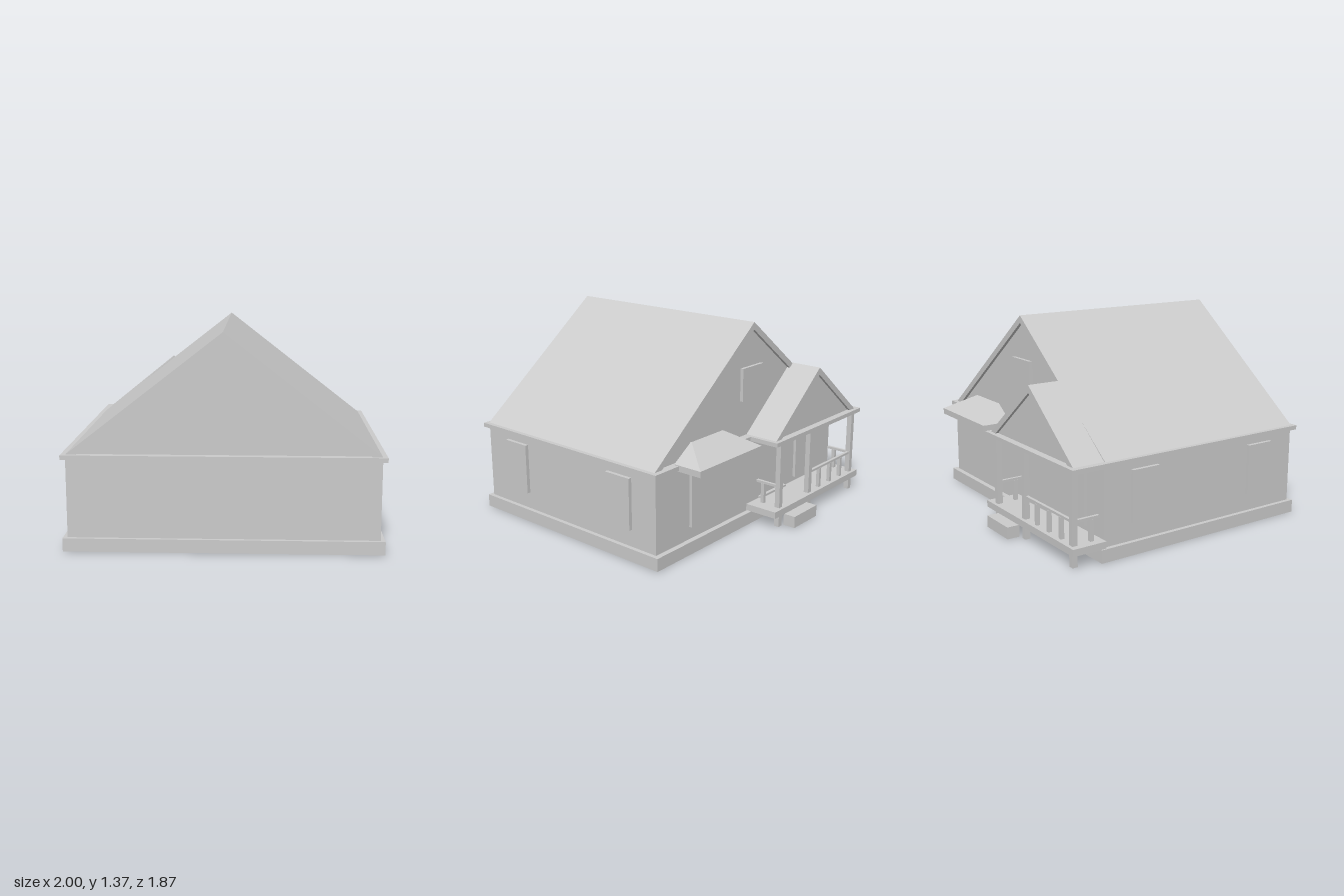
import * as THREE from 'three';

const material = new THREE.MeshStandardMaterial({ color: 0xcccccc, flatShading: true, side: THREE.DoubleSide });

export function createModel() {
  const house = new THREE.Group();
  house.name = 'house';

  function add(name, geometry) {
    const mesh = new THREE.Mesh(geometry, material);
    mesh.name = name;
    house.add(mesh);
    return mesh;
  }

  // Box given by its limits on each axis
  function box(name, x0, x1, y0, y1, z0, z1) {
    const mesh = add(name, new THREE.BoxGeometry(Math.abs(x1 - x0), Math.abs(y1 - y0), Math.abs(z1 - z0)));
    mesh.position.set((x0 + x1) / 2, (y0 + y1) / 2, (z0 + z1) / 2);
    return mesh;
  }

  // Skin over stacked rectangles [x0, x1, y, zBack, zFront]
  function rectLoft(name, loops) {
    const rings = loops.map(([x0, x1, y, zb, zf]) => [[x0, y, zf], [x1, y, zf], [x1, y, zb], [x0, y, zb]]);
    const points = [];
    for (let i = 0; i < rings.length - 1; i++) {
      for (let j = 0; j < 4; j++) {
        const k = (j + 1) % 4;
        const a = rings[i][j], b = rings[i][k], c = rings[i + 1][k], d = rings[i + 1][j];
        points.push(...a, ...b, ...c, ...a, ...c, ...d);
      }
    }
    const geometry = new THREE.BufferGeometry();
    geometry.setAttribute('position', new THREE.Float32BufferAttribute(points, 3));
    geometry.computeVertexNormals();
    return add(name, geometry);
  }

  // Thick chevron roof running along z
  function gableRoof(name, cx, half, base, peak, thick, z0, z1) {
    const inner = half * (1 - thick / (peak - base));
    const shape = new THREE.Shape([
      [-half, base], [-inner, base], [0, peak - thick], [inner, base], [half, base], [0, peak],
    ].map(([x, y]) => new THREE.Vector2(x, y)));
    const geometry = new THREE.ExtrudeGeometry(shape, { depth: z1 - z0, bevelEnabled: false });
    add(name, geometry).position.set(cx, 0, z0);
  }

  // Triangular wall closing a gable; turn = PI makes it face the back
  function gableWall(name, cx, half, base, peak, z, turn) {
    const shape = new THREE.Shape([
      new THREE.Vector2(-half, base), new THREE.Vector2(half, base), new THREE.Vector2(0, peak),
    ]);
    const mesh = add(name, new THREE.ShapeGeometry(shape));
    mesh.position.set(cx, 0, z);
    mesh.rotation.y = turn;
  }

  // Hollow shell: foundation, walls and eave ledge, open below
  rectLoft('wallsAndFoundation', [
    [-1, 1, 0, -0.665, 0.93],
    [-1, 1, 0.085, -0.665, 0.93],
    [-0.972, 0.972, 0.085, -0.63, 0.905],
    [-0.972, 0.972, 0.587, -0.63, 0.905],
    [-1, 1, 0.587, -0.655, 0.935],
    [-1, 1, 0.615, -0.655, 0.935],
    [-0.91, 0.91, 0.615, -0.6, 0.89],
  ]);

  // Main roof
  gableRoof('mainRoof', 0, 0.97, 0.615, 1.37, 0.05, -0.622, 0.912);
  gableWall('frontGable', 0, 0.915, 0.615, 1.325, 0.89, 0);
  gableWall('backGable', 0, 0.915, 0.615, 1.325, -0.6, Math.PI);
  box('atticWindow', -0.11, 0.11, 0.86, 1.08, -0.622, -0.598);

  // Side windows
  for (const side of [-1, 1]) {
    for (const z of [0.61, -0.333]) {
      box('sideWindow', side * 0.97, side * 0.996, 0.2, 0.54, z - 0.1, z + 0.1);
    }
  }

  // Back window under its hipped canopy
  box('backWindow', 0.29, 0.66, 0.17, 0.54, -0.652, -0.628);
  rectLoft('windowCanopy', [
    [0.17, 0.79, 0.58, -0.62, -0.62],
    [0.17, 0.79, 0.58, -0.822, -0.62],
    [0.17, 0.79, 0.62, -0.822, -0.62],
    [0.325, 0.635, 0.722, -0.626, -0.62],
  ]);

  // Porch roof
  box('porchEave', -1, 0.06, 0.587, 0.615, -0.868, -0.632);
  gableRoof('porchRoof', -0.465, 0.495, 0.615, 1.015, 0.05, -0.84, -0.6);
  gableWall('porchGable', -0.465, 0.435, 0.615, 0.967, -0.82, Math.PI);

  // Porch floor, step, door and wall trim
  box('porchFloor', -1, 0.06, 0.09, 0.135, -0.868, -0.632);
  box('porchStep', -0.34, -0.07, 0, 0.08, -0.937, -0.85);
  box('porchDoor', -0.79, -0.5, 0.17, 0.53, -0.65, -0.628);
  box('doorSill', -0.38, -0.08, 0.135, 0.15, -0.655, -0.628);

  // Posts reach from the ground to the eave
  const postX = [-0.94, -0.39, -0.035];
  for (const x of postX) box('porchPost', x - 0.018, x + 0.018, 0, 0.587, -0.846, -0.81);

  // Railing: one run along the back edge, one at each end
  box('backRail', postX[0], postX[1], 0.274, 0.29, -0.838, -0.818);
  for (const x of [-0.81, -0.67, -0.53]) box('baluster', x - 0.012, x + 0.012, 0.135, 0.274, -0.84, -0.816);
  for (const x of [postX[0], postX[2]]) {
    box('endRail', x - 0.01, x + 0.01, 0.274, 0.29, -0.81, -0.65);
    box('baluster', x - 0.012, x + 0.012, 0.135, 0.274, -0.715, -0.69);
  }

  return house;
}
